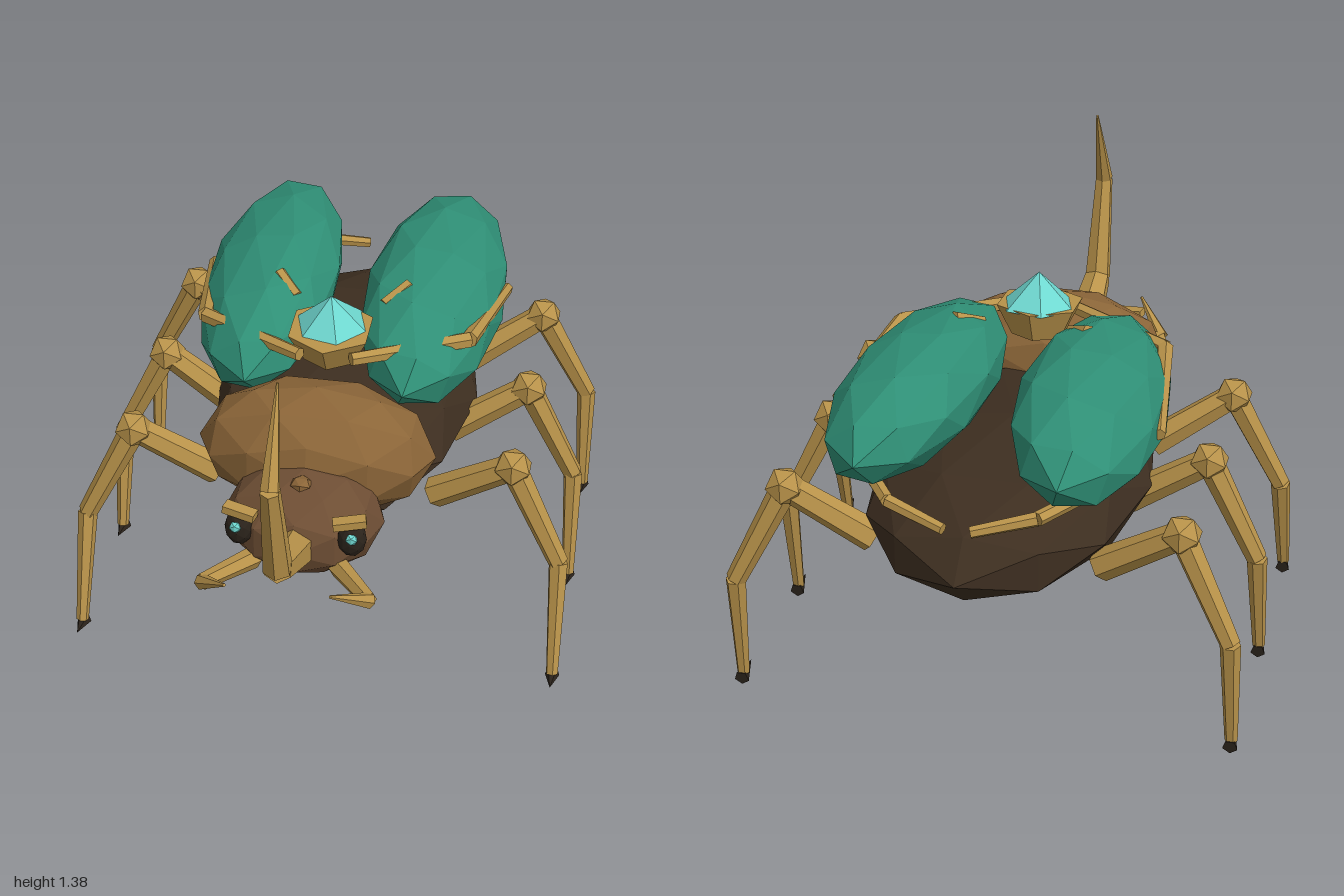
import * as THREE from 'three';

const mat = (name, color) => {
  const m = new THREE.MeshStandardMaterial({ color, flatShading: true });
  m.name = name;
  return m;
};

export function createModel() {
  const gold = mat('gold', 0xb9934a);
  const bronze = mat('bronze brown', 0x8b6538);
  const brown = mat('head brown', 0x6e4e34);
  const dark = mat('dark brown', 0x3d2e20);
  const green = mat('shell green', 0x2f8f76);
  const cyan = mat('gem cyan', 0x6fd8d0);
  const black = mat('claw black', 0x2b231b);

  const model = new THREE.Group();
  model.name = 'beetle';
  const V = (p) => new THREE.Vector3(...p);

  function add(parent, name, geometry, material, pos = [0, 0, 0], rot = [0, 0, 0]) {
    const mesh = new THREE.Mesh(geometry, material);
    mesh.name = name;
    mesh.position.set(...pos);
    mesh.rotation.set(...rot);
    parent.add(mesh);
    return mesh;
  }

  // Faceted ellipsoid
  function blob(parent, name, material, pos, radii, rot, detail = 1) {
    return add(parent, name, new THREE.IcosahedronGeometry(1, detail).scale(...radii), material, pos, rot);
  }

  // Tapered six-sided rods along a list of points, one radius per point
  function rods(parent, name, material, points, radii, sides = 6) {
    const group = new THREE.Group();
    group.name = name;
    parent.add(group);
    for (let i = 0; i < points.length - 1; i++) {
      const a = V(points[i]), b = V(points[i + 1]);
      const dir = b.clone().sub(a);
      const rod = add(group, name + 'Segment',
        new THREE.CylinderGeometry(radii[i + 1], radii[i], dir.length(), sides), material,
        a.clone().add(b).multiplyScalar(0.5).toArray());
      rod.quaternion.setFromUnitVectors(new THREE.Vector3(0, 1, 0), dir.normalize());
    }
    return group;
  }

  // Body
  blob(model, 'abdomen', dark, [0, 0.62, -0.29], [0.43, 0.2, 0.71]);
  blob(model, 'thorax', bronze, [0, 0.765, 0.27], [0.37, 0.215, 0.215]);
  blob(model, 'head', brown, [0, 0.655, 0.475], [0.245, 0.165, 0.215]);
  blob(model, 'headStud', bronze, [0, 0.805, 0.53], [0.035, 0.02, 0.035], [0, 0, 0], 0);

  // Horn sweeping forward and up
  rods(model, 'horn', gold,
    [[0, 0.645, 0.62], [0, 0.76, 0.89], [0, 1.095, 0.975], [0, 1.37, 0.85]],
    [0.068, 0.045, 0.03, 0.004]);

  // Gem in its setting
  add(model, 'gemSetting', new THREE.CylinderGeometry(0.14, 0.09, 0.1, 6), gold, [0, 1.0, 0.03], [0.08, 0, 0]);
  add(model, 'gem', new THREE.ConeGeometry(0.12, 0.11, 6), cyan, [0, 1.1, 0.02], [0.08, 0.3, 0]);

  for (const s of [1, -1]) {
    const side = new THREE.Group();
    side.name = s > 0 ? 'leftSide' : 'rightSide';
    model.add(side);
    const p = (x, y, z) => [s * x, y, z];

    // Wing case
    blob(side, 'wingCase', green, p(0.27, 0.935, -0.4), [0.23, 0.175, 0.58], [0.04, -s * 0.04, -s * 0.3]);

    // Gold trims around the wing case
    rods(side, 'sideTrim', gold,
      [p(0.08, 1.0, 0.13), p(0.42, 0.985, -0.07), p(0.49, 0.92, -0.51)], [0.022, 0.027, 0.02]);
    rods(side, 'rearTrim', gold,
      [p(0.38, 0.84, -0.68), p(0.22, 0.82, -0.9), p(0.04, 0.785, -0.96)], [0.022, 0.022, 0.018]);
    rods(side, 'wingRivetBar', gold, [p(0.14, 1.04, -0.14), p(0.21, 1.08, -0.21)], [0.022, 0.022]);
    blob(side, 'wingStud', gold, p(0.14, 1.06, -0.52), [0.02, 0.02, 0.02], [0, 0, 0], 0);

    // Eye, glint and brow
    blob(side, 'eye', black, p(0.17, 0.695, 0.625), [0.045, 0.06, 0.042]);
    blob(side, 'eyeGlint', cyan, p(0.175, 0.715, 0.66), [0.02, 0.02, 0.015], [0, 0, 0], 0);
    add(side, 'brow', new THREE.BoxGeometry(0.1, 0.025, 0.04), gold, p(0.165, 0.757, 0.635), [0, s * 0.2, s * 0.12]);

    // Mandible
    rods(side, 'mandible', gold,
      [p(0.13, 0.58, 0.62), p(0.25, 0.6, 0.79), p(0.155, 0.69, 0.905)], [0.034, 0.025, 0.005]);

    // Legs: hip, knee, ankle and foot depths from front to back
    for (const [name, hip, knee, ankle, foot] of [
      ['frontLeg', 0.14, 0.2, 0.235, 0.345],
      ['middleLeg', -0.23, -0.25, -0.255, -0.185],
      ['rearLeg', -0.65, -0.705, -0.75, -0.715],
    ]) {
      rods(side, name, gold,
        [p(0.35, 0.54, hip), p(0.6, 0.71, knee), p(0.76, 0.39, ankle), p(0.77, 0.03, foot)],
        [0.05, 0.042, 0.032, 0.02]);
      blob(side, name + 'Knee', gold, p(0.6, 0.71, knee), [0.063, 0.063, 0.063], [0, 0, 0], 0);
      add(side, name + 'Claw', new THREE.ConeGeometry(0.024, 0.09, 5), black,
        p(0.77, 0.022, foot + 0.025), [Math.PI / 2 - 0.12, 0, 0]);
    }
  }
  return model;
}
